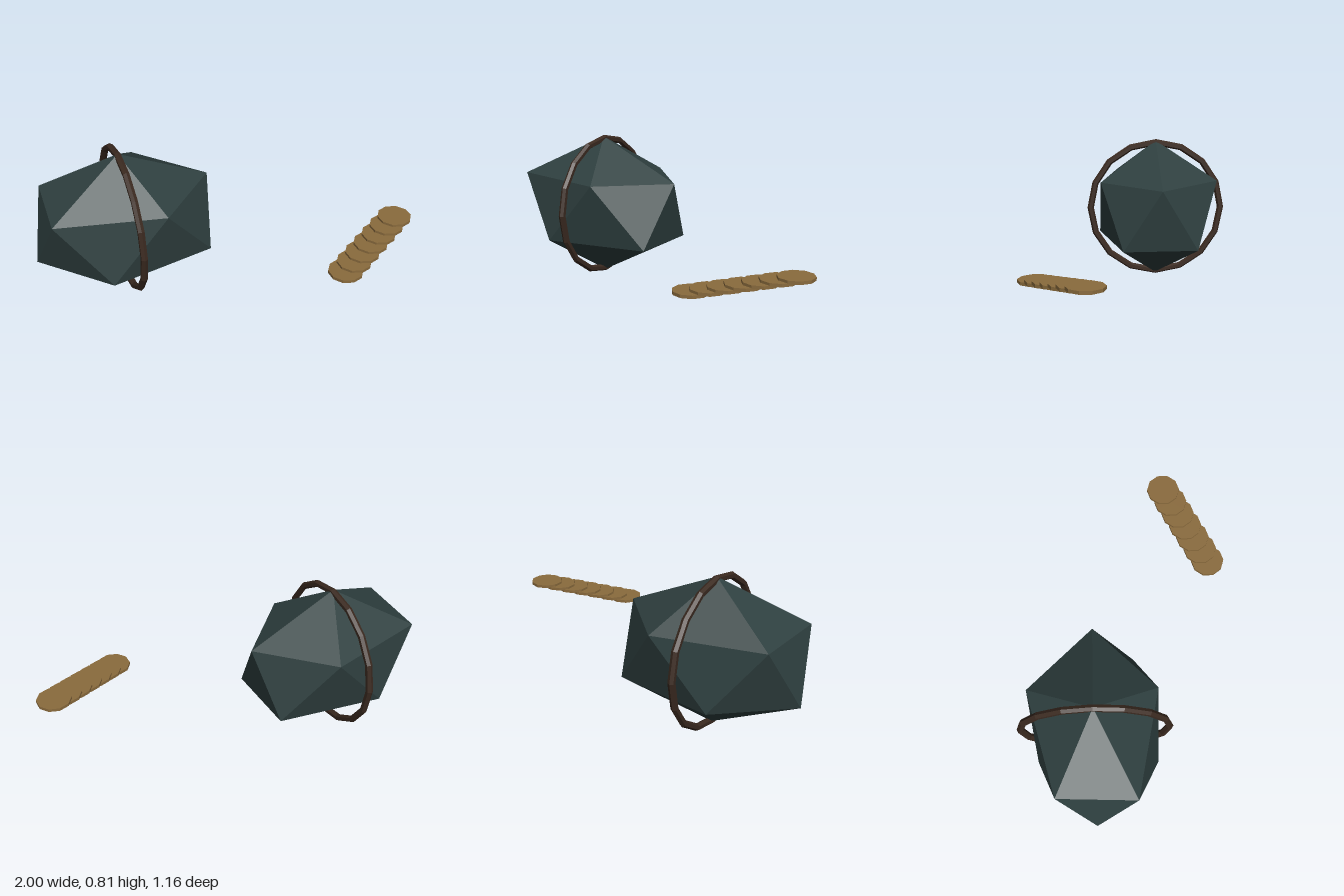
import * as THREE from 'three';

const flat = (name, color) => {
  const m = new THREE.MeshStandardMaterial({ color, flatShading: true });
  m.name = name;
  return m;
};

// Twenty-sided solid, slightly uneven, built from two five-point rings and two poles
function createBodyGeometry() {
  const top = [-0.52, 0.81, -0.172];
  const bottom = [-0.52, 0.015, -0.172];
  const upper = [
    [-0.037, 0.582, -0.175], [-0.365, 0.585, 0.155], [-0.93, 0.59, 0.037],
    [-0.91, 0.59, -0.372], [-0.36, 0.592, -0.515],
  ];
  const lower = [
    [-0.097, 0.235, 0.037], [-0.67, 0.24, 0.155], [-1.0, 0.25, -0.175],
    [-0.66, 0.25, -0.48], [-0.105, 0.237, -0.38],
  ];
  const points = [];
  for (let i = 0; i < 5; i++) {
    const j = (i + 1) % 5;
    points.push(
      top, upper[j], upper[i],
      upper[i], upper[j], lower[i],
      lower[i], upper[j], lower[j],
      bottom, lower[i], lower[j],
    );
  }
  const geometry = new THREE.BufferGeometry();
  geometry.setAttribute('position', new THREE.Float32BufferAttribute(points.flat(), 3));
  geometry.computeVertexNormals();
  return geometry;
}

export function createModel() {
  const model = new THREE.Group();
  const slate = flat('dark slate', 0x2f4040);
  const brown = flat('dark brown', 0x3b2a20);
  const tan = flat('tan', 0x8a6b3d);

  // Faceted body
  const body = new THREE.Mesh(createBodyGeometry(), slate);
  body.name = 'body';
  model.add(body);

  // Upright band around the body
  const band = new THREE.Mesh(new THREE.TorusGeometry(0.387, 0.019, 6, 16), brown);
  band.name = 'band';
  band.position.set(-0.52, 0.412, -0.174);
  band.rotation.y = Math.PI / 2;
  model.add(band);

  // Row of overlapping discs, each a little higher than the last
  const discs = new THREE.Group();
  discs.name = 'discs';
  const discGeometry = new THREE.CylinderGeometry(0.093, 0.093, 0.0165, 10);
  for (let i = 0; i < 7; i++) {
    const disc = new THREE.Mesh(discGeometry, tan);
    disc.name = 'disc';
    disc.position.set(0.488 + 0.0705 * i, 0.239 + 0.0132 * i, 0.485 - 0.0398 * i);
    discs.add(disc);
  }
  model.add(discs);

  return model;
}
